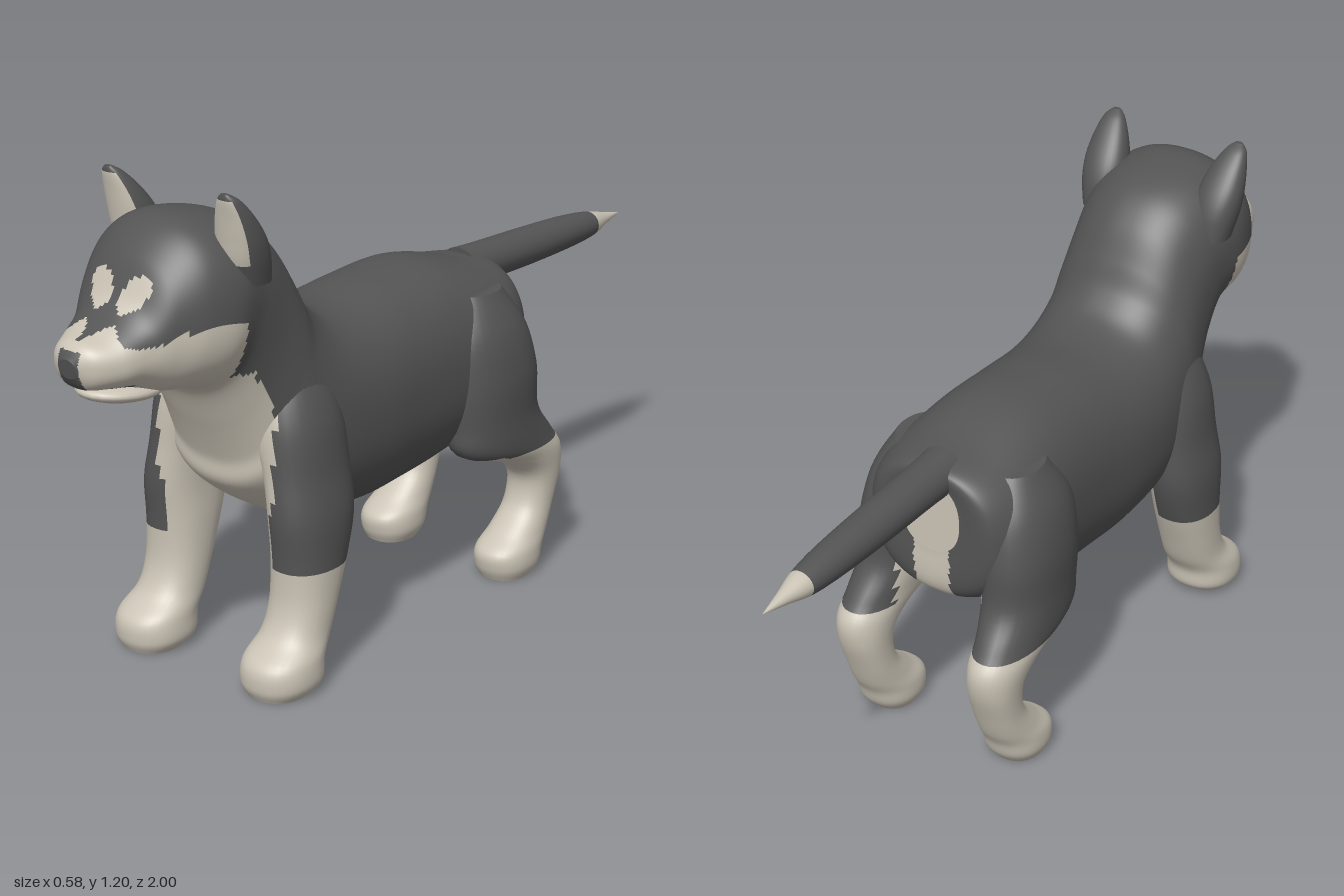
import * as THREE from 'three';

const mat = (name, color) => {
  const m = new THREE.MeshStandardMaterial({ color });
  m.name = name;
  return m;
};

// Catmull-Rom blend of rows of numbers
function sampleRows(rows, t) {
  const n = rows.length - 1, f = Math.min(t * n, n - 1e-6), i = Math.floor(f), u = f - i;
  const r = k => rows[Math.max(0, Math.min(n, k))];
  return rows[0].map((_, c) => {
    const a = r(i - 1)[c], b = r(i)[c], d = r(i + 1)[c], e = r(i + 2)[c];
    return b + 0.5 * u * (d - a + u * (2 * a - 5 * b + 4 * d - e + u * (3 * (b - d) + e - a)));
  });
}

// Closed loft through rows; place(row, angle) gives a point, paint(point, angle) a material index
function loft(name, rows, place, paint, mats, rings, sides, startCapMat = -1) {
  const pos = [], faces = mats.map(() => []), tris = [];
  for (let i = 0; i <= rings; i++) {
    const row = sampleRows(rows, i / rings);
    for (let j = 0; j < sides; j++) pos.push(...place(row, j / sides * Math.PI * 2));
  }
  const P = i => new THREE.Vector3().fromArray(pos, i * 3);
  for (let i = 0; i < rings; i++) for (let j = 0; j < sides; j++) {
    const k = (j + 1) % sides, a = i * sides + j, b = i * sides + k, c = a + sides, d = b + sides;
    const mid = P(a).add(P(b)).add(P(c)).add(P(d)).multiplyScalar(0.25);
    const m = paint(mid, (j + 0.5) / sides * Math.PI * 2);
    tris.push([m, a, b, d], [m, a, d, c]);
  }
  // end caps with their own vertices, so their rims stay sharp
  for (const end of [0, rings]) {
    const start = pos.length / 3, mid = new THREE.Vector3();
    for (let j = 0; j < sides; j++) {
      const p = P(end * sides + j);
      mid.addScaledVector(p, 1 / sides);
      pos.push(p.x, p.y, p.z);
    }
    pos.push(mid.x, mid.y, mid.z);
    const m = end === 0 && startCapMat >= 0 ? startCapMat : paint(mid, Math.PI / 2);
    for (let j = 0; j < sides; j++) {
      const a = start + j, b = start + (j + 1) % sides, c = start + sides;
      tris.push(end ? [m, a, b, c] : [m, b, a, c]);
    }
  }
  // face outward whichever way the loft runs
  let volume = 0;
  for (const [, a, b, c] of tris) volume += P(a).dot(P(b).cross(P(c)));
  for (const [m, a, b, c] of tris) faces[m].push(...(volume > 0 ? [a, b, c] : [a, c, b]));
  const geo = new THREE.BufferGeometry();
  geo.setAttribute('position', new THREE.Float32BufferAttribute(pos, 3));
  geo.setIndex(faces.flat());
  let at = 0;
  faces.forEach((f, m) => { if (f.length) geo.addGroup(at, f.length, m); at += f.length; });
  geo.computeVertexNormals();
  const mesh = new THREE.Mesh(geo, mats);
  mesh.name = name;
  return mesh;
}

const soft = (v, e) => Math.sign(v) * Math.pow(Math.abs(v), e);

export function createModel() {
  const group = new THREE.Group();
  const mats = [mat('dark fur', 0x545454), mat('cream fur', 0xcac3b5), mat('paw pads', 0x80544c)];
  const DARK = 0, CREAM = 1, PAD = 2;

  // Torso, neck, head and muzzle: [top z, top y, bottom z, bottom y, half width]
  const body = [
    [-0.385, 0.74, -0.385, 0.55, 0.08], [-0.38, 0.775, -0.37, 0.43, 0.17],
    [-0.28, 0.795, -0.25, 0.38, 0.22], [-0.12, 0.83, -0.12, 0.33, 0.215],
    [0.05, 0.825, 0.05, 0.308, 0.215], [0.2, 0.812, 0.2, 0.305, 0.222],
    [0.3, 0.83, 0.38, 0.335, 0.222], [0.36, 0.88, 0.54, 0.44, 0.21],
    [0.4, 0.95, 0.565, 0.52, 0.2], [0.45, 1.03, 0.61, 0.62, 0.192],
    [0.52, 1.09, 0.66, 0.71, 0.195], [0.62, 1.122, 0.72, 0.737, 0.206],
    [0.72, 1.122, 0.77, 0.745, 0.188], [0.8, 1.06, 0.82, 0.755, 0.152],
    [0.855, 0.965, 0.87, 0.778, 0.122], [0.92, 0.918, 0.92, 0.788, 0.1],
    [0.975, 0.9, 0.97, 0.797, 0.066], [1.0, 0.87, 0.993, 0.825, 0.025],
  ];
  const placeBody = ([zt, yt, zb, yb, w], a) => {
    const c = soft(Math.cos(a), 0.87), s = soft(Math.sin(a), 0.87);
    return [w * c, (yt + yb) / 2 + (yt - yb) / 2 * s, (zt + zb) / 2 + (zt - zb) / 2 * s];
  };
  const paintBody = ({ x, y, z }) => {
    const ax = Math.abs(x);
    if (z > 0.65 && y > 0.76) {
      // nose and mouth
      if (z > 0.95 && ax < 0.03 && y < 0.887) return DARK;
      if (z > 0.87 && y < 0.797) return DARK;
      // brow spots
      const dy = y - 0.985, dx = ax - 0.05 - dy * 0.3;
      if (z > 0.75 && (dx / 0.034) ** 2 + (dy / 0.04) ** 2 < 1) return CREAM;
      // cheeks and muzzle
      const line = 0.885 + 0.042 * Math.exp(-(((ax - 0.04) / 0.04) ** 2)) + 0.025 * THREE.MathUtils.smoothstep(ax, 0.12, 0.17);
      return y < line ? CREAM : DARK;
    }
    if (z > 0.6 && y < 0.77) return CREAM;
    if (z > 0.4 && y < 0.75 && ax < 0.175) return CREAM;   // chest
    if (y < 0.36 && ax < 0.1) return CREAM;                // belly
    if (z < -0.3 && y < 0.72 && ax < 0.05) return CREAM;   // under the tail
    return DARK;
  };
  group.add(loft('body and head', body, placeBody, paintBody, mats, 170, 96));

  // Lower jaw
  const jaw = new THREE.Mesh(new THREE.SphereGeometry(1, 24, 16), mats[CREAM]);
  jaw.name = 'lowerJaw';
  jaw.scale.set(0.085, 0.026, 0.11);
  jaw.position.set(0, 0.766, 0.843);
  jaw.rotation.x = -0.1;
  group.add(jaw);

  // Tail: [z, y, radius]
  const tail = [
    [-0.33, 0.745, 0.06], [-0.42, 0.745, 0.055], [-0.6, 0.742, 0.052], [-0.76, 0.74, 0.046],
    [-0.86, 0.738, 0.036], [-0.93, 0.738, 0.018], [-1, 0.738, 0.001],
  ];
  group.add(loft('tail', tail, ([z, y, r], a) => [r * Math.cos(a), y + r * 0.92 * Math.sin(a), z],
    (p, a) => (p.z < -0.87 || Math.sin(a) < -0.8 ? CREAM : DARK), mats, 50, 24));

  // Upright parts: [y, centre z, centre x, z radius, x radius]
  const frontLeg = [
    [0, 0.568, 0.2, 0.07, 0.07], [0.03, 0.556, 0.2, 0.094, 0.09], [0.08, 0.548, 0.2, 0.094, 0.088],
    [0.13, 0.503, 0.197, 0.078, 0.077], [0.2, 0.475, 0.197, 0.078, 0.075], [0.3, 0.455, 0.197, 0.096, 0.076],
    [0.4, 0.445, 0.195, 0.114, 0.077], [0.5, 0.44, 0.178, 0.114, 0.078], [0.62, 0.44, 0.15, 0.11, 0.09],
    [0.72, 0.44, 0.13, 0.08, 0.07], [0.78, 0.44, 0.12, 0.03, 0.03],
  ];
  const hindLeg = [
    [0, -0.295, 0.185, 0.066, 0.06], [0.03, -0.3, 0.185, 0.084, 0.074], [0.07, -0.308, 0.185, 0.09, 0.074],
    [0.11, -0.345, 0.185, 0.075, 0.066], [0.17, -0.385, 0.185, 0.058, 0.06], [0.25, -0.4, 0.187, 0.07, 0.062],
    [0.31, -0.362, 0.188, 0.11, 0.068], [0.36, -0.275, 0.185, 0.163, 0.076], [0.44, -0.238, 0.175, 0.146, 0.086],
    [0.55, -0.232, 0.17, 0.145, 0.092], [0.66, -0.222, 0.15, 0.13, 0.09], [0.75, -0.22, 0.12, 0.08, 0.07],
  ];
  const ear = [
    [0.98, 0.6, 0.158, 0.05, 0.046], [1.04, 0.615, 0.16, 0.056, 0.056], [1.09, 0.63, 0.163, 0.05, 0.056],
    [1.14, 0.652, 0.168, 0.036, 0.045], [1.18, 0.675, 0.173, 0.02, 0.028], [1.197, 0.688, 0.174, 0.006, 0.01],
  ];
  for (const [side, s] of [['left', 1], ['right', -1]]) {
    const upright = ([y, zc, xc, rz, rx], a) =>
      [s * (xc + rx * soft(Math.cos(a), 0.9)), y, zc + rz * soft(Math.sin(a), 0.9)];
    group.add(loft(side + 'FrontLeg', frontLeg, upright,
      p => (p.y > 0.28 && p.x * s > (p.y > 0.42 ? 0.178 : 0.16) ? DARK : CREAM), mats, 60, 32, PAD));
    group.add(loft(side + 'HindLeg', hindLeg, upright,
      p => (p.y > 0.335 + 0.08 * Math.max(0, p.z + 0.3) && (p.x * s > 0.12 || p.y > 0.5) ? DARK : CREAM),
      mats, 60, 32, PAD));
    // cream hollow on the front of each ear
    group.add(loft(side + 'Ear', ear, upright,
      (p, a) => (Math.sin(a) > 0.55 && p.y > 1.03 && p.y < 1.182 ? CREAM : DARK), mats, 40, 32));
  }
  return group;
}
